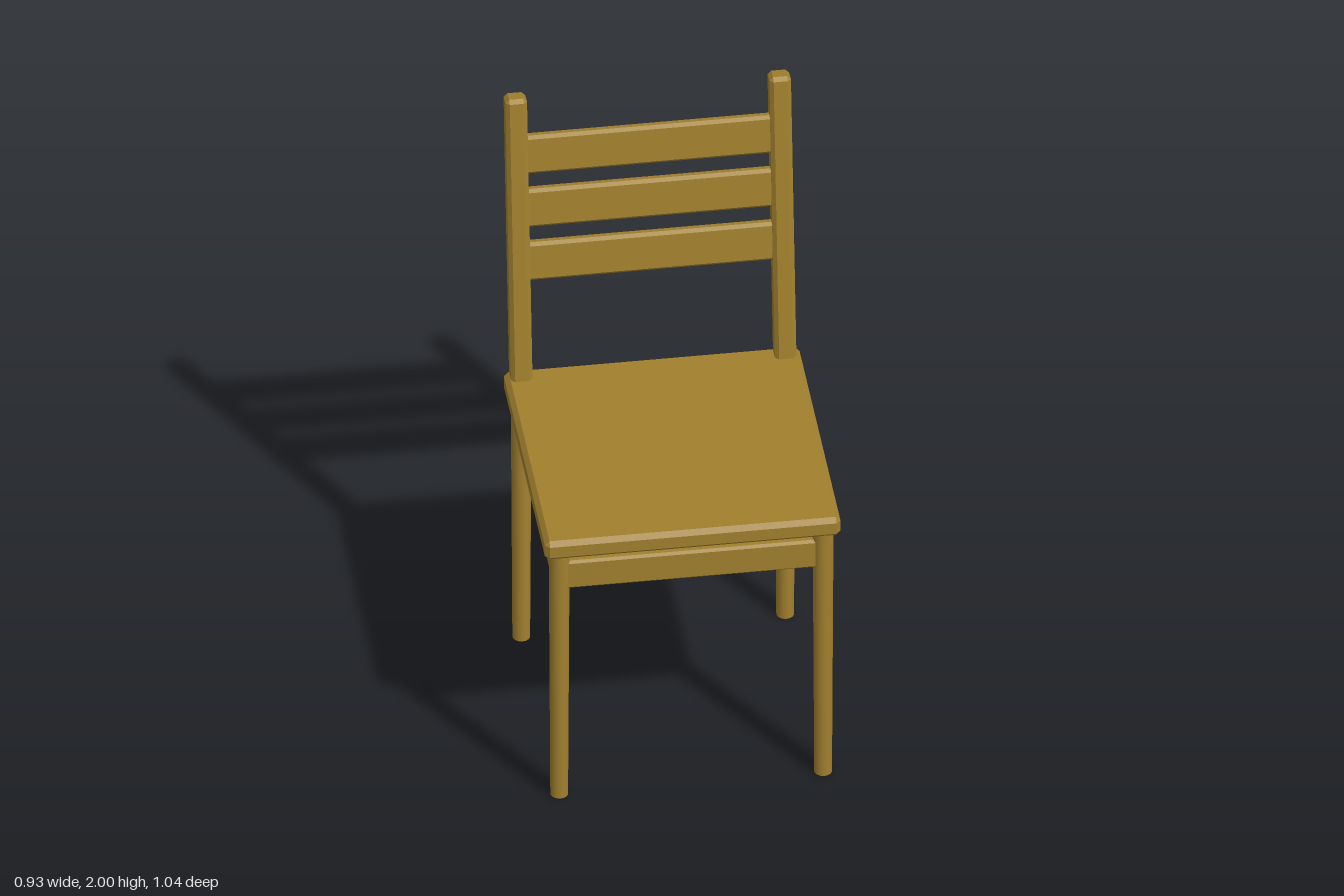
import * as THREE from 'three';
import { ConvexGeometry } from 'three/addons/geometries/ConvexGeometry.js';

// Box with a flat chamfer on every edge
function chamferBox(w, h, d, c) {
  const points = [];
  for (const sx of [-1, 1]) for (const sy of [-1, 1]) for (const sz of [-1, 1]) {
    const x = w / 2, y = h / 2, z = d / 2;
    points.push(
      new THREE.Vector3(sx * x, sy * (y - c), sz * (z - c)),
      new THREE.Vector3(sx * (x - c), sy * y, sz * (z - c)),
      new THREE.Vector3(sx * (x - c), sy * (y - c), sz * z),
    );
  }
  return new ConvexGeometry(points);
}

export function createModel() {
  const model = new THREE.Group();
  model.name = 'chair';
  const wood = new THREE.MeshStandardMaterial({ color: 0xa1802e });
  wood.name = 'wood';

  const add = (name, geometry, x, y, z, parent = model) => {
    const mesh = new THREE.Mesh(geometry, wood);
    mesh.name = name;
    mesh.position.set(x, y, z);
    parent.add(mesh);
    return mesh;
  };

  const legX = 0.415, frontZ = 0.473, backZ = -0.357;

  // Seat board
  add('seat', chamferBox(0.93, 0.07, 0.925, 0.015), 0, 0.968, 0.057);

  // Four tapered round legs
  const leg = new THREE.CylinderGeometry(0.033, 0.028, 0.95, 16);
  for (const side of [1, -1]) {
    const label = side > 0 ? 'left' : 'right';
    add(label + 'FrontLeg', leg, side * legX, 0.475, frontZ);
    add(label + 'BackLeg', leg, side * legX, 0.475, backZ);
    // Side rail under the seat
    add(label + 'Rail', chamferBox(0.036, 0.105, 0.8, 0.008), side * legX, 0.853, (frontZ + backZ) / 2);
  }

  // Front rail under the seat
  add('frontRail', chamferBox(0.8, 0.105, 0.036, 0.008), 0, 0.853, frontZ);

  // Leaning backrest, pivoted at the seat top
  const back = new THREE.Group();
  back.name = 'backrest';
  back.position.set(0, 1, -0.367);
  back.rotation.x = -0.121;
  model.add(back);

  const post = chamferBox(0.068, 1.044, 0.066, 0.012);
  for (const side of [1, -1]) {
    add(side > 0 ? 'leftPost' : 'rightPost', post, side * legX, 0.482, 0, back);
  }

  // Three slats between the posts
  const slat = chamferBox(0.79, 0.135, 0.036, 0.01);
  for (let i = 0; i < 3; i++) {
    add('slat' + (i + 1), slat, 0, 0.413 + i * 0.191, 0, back);
  }
  return model;
}
